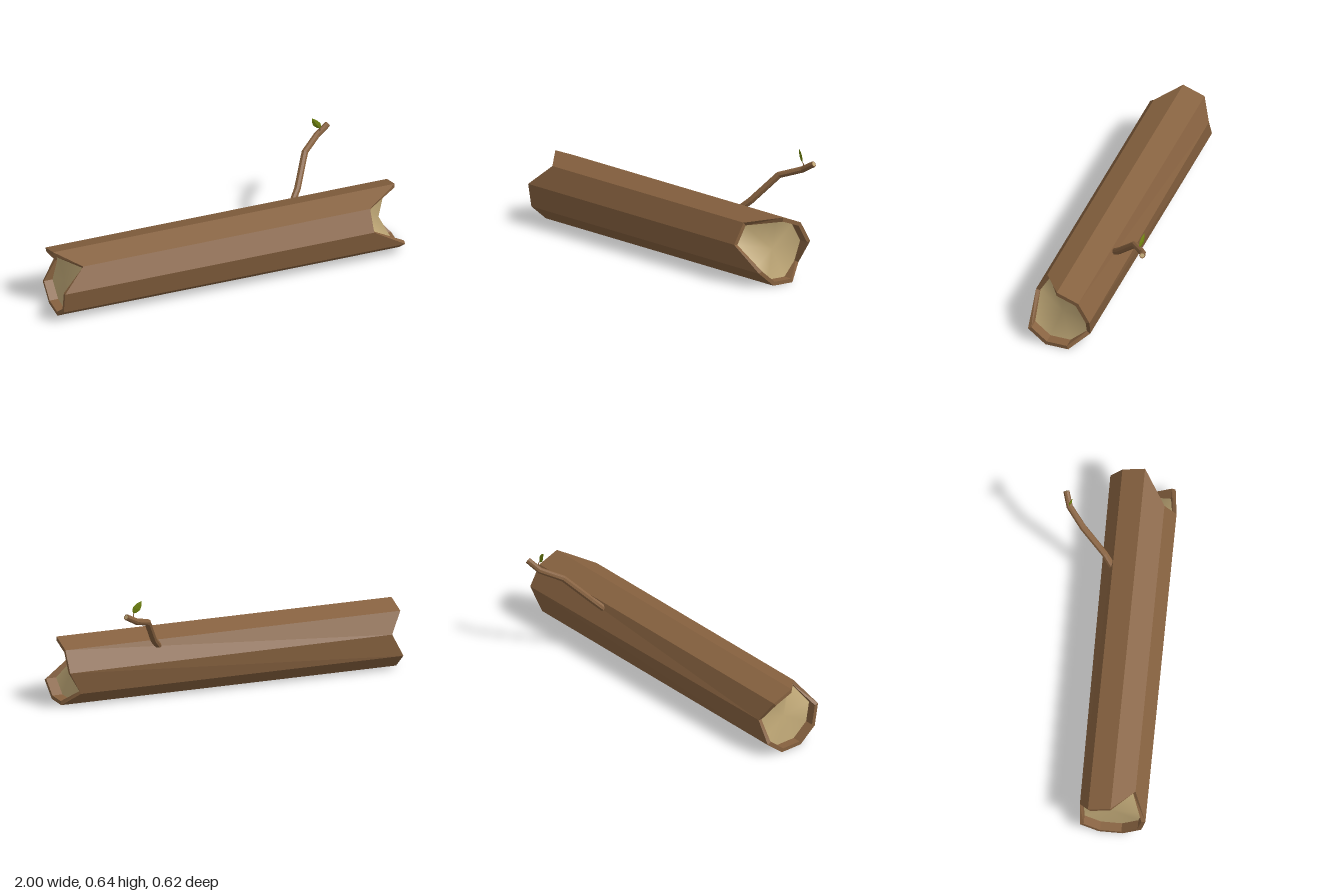
import * as THREE from 'three';

const bark = new THREE.MeshStandardMaterial({ color: 0x86613f, flatShading: true });
const wood = new THREE.MeshStandardMaterial({ color: 0xc2aa78, side: THREE.DoubleSide });
const green = new THREE.MeshStandardMaterial({ color: 0x72860f, flatShading: true, side: THREE.DoubleSide });

// Skin a list of closed rings (arrays of Vector3)
function loft(name, rings, material) {
  const n = rings[0].length, index = [];
  for (let j = 0; j + 1 < rings.length; j++) {
    for (let i = 0; i < n; i++) {
      const k = (i + 1) % n, a = j * n + i, b = j * n + k;
      index.push(a, b, b + n, a, b + n, a + n);
    }
  }
  return build(name, rings.flat(), index, material);
}

// Fan from a ring to a centre point
function cap(name, ring, centre, flip) {
  const n = ring.length, index = [];
  for (let i = 0; i < n; i++) {
    const k = (i + 1) % n;
    index.push(n, flip ? k : i, flip ? i : k);
  }
  return build(name, [...ring, centre], index, wood);
}

function build(name, points, index, material) {
  const g = new THREE.BufferGeometry().setFromPoints(points);
  g.setIndex(index);
  g.computeVertexNormals();
  const mesh = new THREE.Mesh(g, material);
  mesh.name = name;
  return mesh;
}

// Nine-sided log section, starting at the top and turning towards +z
const SIDES = 9, CY = 0.182, CZ = 0.117;
const section = (r, xs) => xs.map((x, i) => {
  const a = (i / SIDES) * Math.PI * 2;
  const taper = i === 7 && x < 0 ? 0.92 : 1;
  return new THREE.Vector3(x, CY + Math.cos(a) * r * (Math.cos(a) < -0.9 ? 0.985 : 1), CZ + Math.sin(a) * r * taper);
});

function makeLog() {
  const log = new THREE.Group();
  log.name = 'log';
  // Broken ends: x of each corner, and of the recessed wood behind it
  const leftRim = [-1, -0.87, -1, -1, -1, -1, -1, -0.93, -1];
  const rightRim = [1, 0.81, 0.81, 1, 1, 1, 0.925, 1, 1];
  const leftCap = leftRim.map(x => Math.max(x + 0.01, -0.95));
  const rightCap = rightRim.map(x => Math.min(x - 0.01, 0.94));
  const R = 0.195, r = 0.172;
  const innerL = section(r, leftCap), innerR = section(r, rightCap);
  log.add(loft('bark', [innerL, section(r, leftRim), section(R, leftRim),
    section(R, rightRim), section(r, rightRim), innerR], bark));
  log.add(cap('leftHeartwood', innerL, new THREE.Vector3(-0.935, CY, CZ), true));
  log.add(cap('rightHeartwood', innerR, new THREE.Vector3(0.905, CY, CZ), false));
  return log;
}

// Rings of a bent tube through the given points
function tubeRings(points, radii, sides) {
  return points.map((p, j) => {
    const t = points[Math.min(j + 1, points.length - 1)].clone()
      .sub(points[Math.max(j - 1, 0)]).normalize();
    const u = new THREE.Vector3(0, 1, 0).addScaledVector(t, -t.y).normalize();
    const v = t.clone().cross(u);
    return Array.from({ length: sides }, (_, i) => {
      const a = (i / sides) * Math.PI * 2;
      return p.clone().addScaledVector(u, Math.cos(a) * radii[j]).addScaledVector(v, Math.sin(a) * radii[j]);
    });
  });
}

function makeBranch() {
  const branch = new THREE.Group();
  branch.name = 'branch';
  const path = [[0.44, 0.29, -0.005], [0.495, 0.35, -0.06], [0.585, 0.493, -0.187],
    [0.685, 0.53, -0.27], [0.758, 0.571, -0.295]].map(p => new THREE.Vector3(...p));
  const rings = tubeRings(path, [0.019, 0.019, 0.019, 0.018, 0.017], 8);
  const tip = path[path.length - 1];
  const inner = rings[rings.length - 1].map(p => p.clone().lerp(tip, 0.28));
  branch.add(loft('twig', [...rings, inner], bark));
  branch.add(cap('twigEnd', inner, tip, false));
  return branch;
}

function makeLeaf() {
  const leaf = new THREE.Group();
  leaf.name = 'leaf';
  const base = new THREE.Vector3(0.70, 0.577, -0.26), tip = new THREE.Vector3(0.657, 0.645, -0.27);
  const stem = [new THREE.Vector3(0.703, 0.538, -0.272), new THREE.Vector3(0.703, 0.565, -0.266), base];
  leaf.add(loft('leafStem', tubeRings(stem, [0.004, 0.003, 0.002], 5), bark));
  // Diamond sections widening from the stem, then narrowing to the tip
  const axis = tip.clone().sub(base).normalize();
  const wide = new THREE.Vector3(0.8, 0.5, 0.3).addScaledVector(axis, -0.1).normalize();
  const thick = axis.clone().cross(wide).normalize();
  const rings = [[0, 0.002], [0.12, 0.013], [0.38, 0.021], [0.72, 0.015], [1, 0.001]].map(([s, w]) => {
    const c = base.clone().lerp(tip, s);
    return [[w, 0], [0, w * 0.25], [-w, 0], [0, -w * 0.25]].map(([a, b]) =>
      c.clone().addScaledVector(wide, a).addScaledVector(thick, b));
  });
  leaf.add(loft('leafBlade', rings, green));
  return leaf;
}

export function createModel() {
  const model = new THREE.Group();
  model.name = 'hollowLog';
  model.add(makeLog(), makeBranch(), makeLeaf());
  return model;
}
